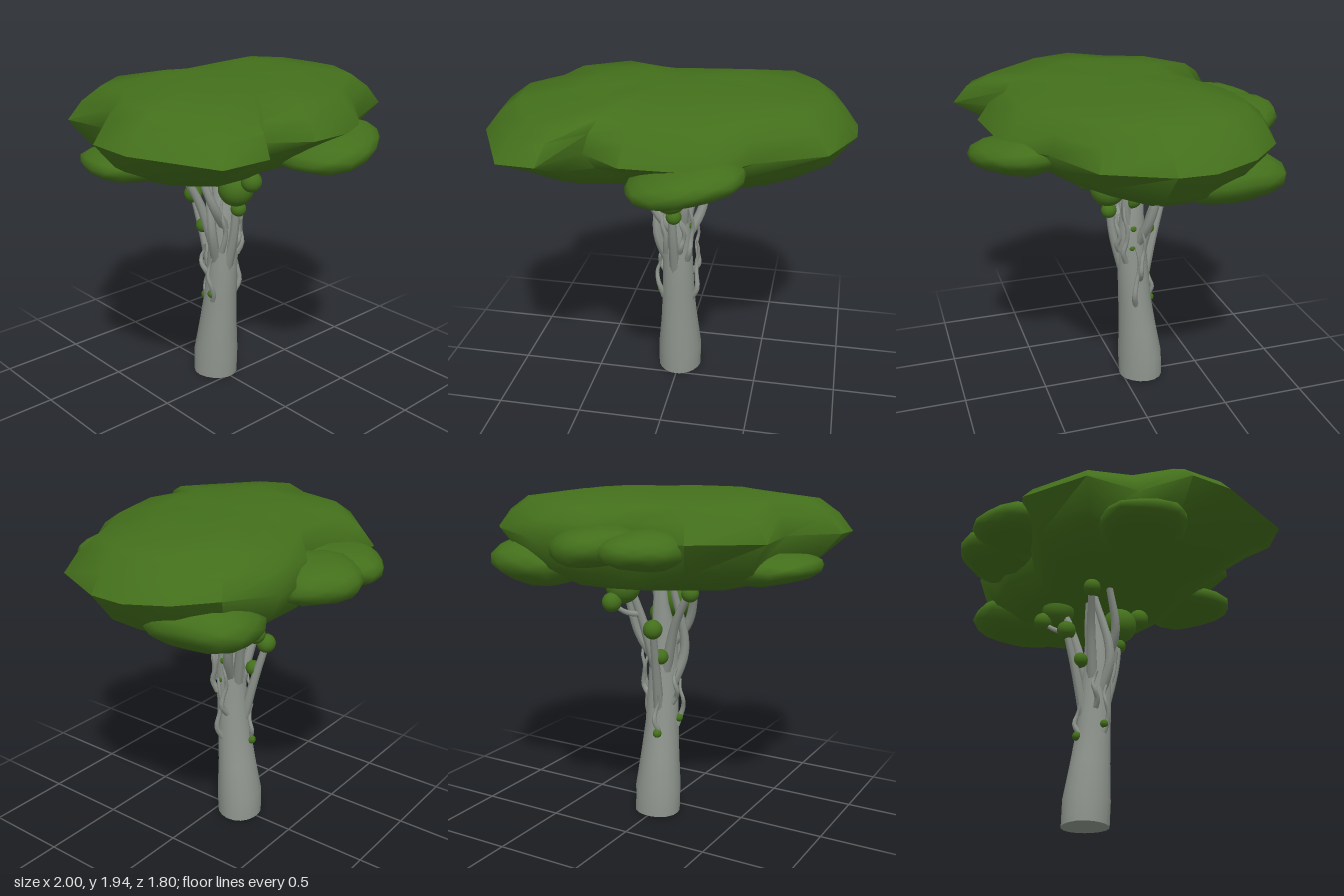
import * as THREE from 'three';
import { mergeVertices, toCreasedNormals } from 'three/addons/utils/BufferGeometryUtils.js';

const leafMat = new THREE.MeshStandardMaterial({ color: 0x436f1b });
const barkMat = new THREE.MeshStandardMaterial({ color: 0x8f968e });

function mesh(name, geometry, material) {
  const m = new THREE.Mesh(geometry, material);
  m.name = name;
  return m;
}

// Closed skin through rings of equal point count, lowest ring first
function loft(rings, crease) {
  const n = rings[0].length;
  const idx = [];
  for (let i = 0; i < rings.length - 1; i++) {
    for (let j = 0; j < n; j++) {
      const k = (j + 1) % n;
      const a = i * n + j, b = i * n + k, c = a + n, d = b + n;
      idx.push(a, b, d, a, d, c);
    }
  }
  const g = new THREE.BufferGeometry();
  g.setAttribute('position', new THREE.Float32BufferAttribute(rings.flat(2), 3));
  g.setIndex(idx);
  return toCreasedNormals(g, crease);
}

// Tube that narrows from r0 to r1
function taperTube(points, r0, r1) {
  const curve = new THREE.CatmullRomCurve3(points);
  const seg = 14, sides = 7;
  const g = new THREE.TubeGeometry(curve, seg, r0, sides);
  const p = g.attributes.position, q = new THREE.Vector3();
  for (let k = 0; k < p.count; k++) {
    const t = Math.floor(k / (sides + 1)) / seg;
    const c = curve.getPointAt(t);
    q.fromBufferAttribute(p, k).sub(c).multiplyScalar(1 + (r1 / r0 - 1) * t).add(c);
    p.setXYZ(k, q.x, q.y, q.z);
  }
  return g;
}

// Lumpy flattened leaf mass, rising towards +x by tilt
function lump(center, radii, tilt, seed) {
  let g = new THREE.IcosahedronGeometry(1, 2);
  g.deleteAttribute('normal');
  g.deleteAttribute('uv');
  g = mergeVertices(g, 1e-3);
  const p = g.attributes.position, q = new THREE.Vector3();
  for (let i = 0; i < p.count; i++) {
    q.fromBufferAttribute(p, i);
    q.multiplyScalar(1.03 + 0.09 * Math.sin(3 * q.x + seed) * Math.cos(4 * q.z + 2 * seed));
    p.setXYZ(i, q.x * radii[0], q.y * radii[1] + q.x * tilt, q.z * radii[2]);
  }
  g.translate(...center);
  g.computeVertexNormals();
  return g;
}

// Canopy plan corners as x, z
const outline = [
  [-1, .12], [-.98, .36], [-.76, .8], [-.53, .87], [-.36, .63], [-.14, .79], [.3, .72], [.5, .53], [.86, .38], [1, .04],
  [1, -.16], [.92, -.4], [.76, -.58], [.45, -.7], [.14, -.69], [-.05, -.52], [-.48, -.69], [-.8, -.42], [-.77, -.1],
];

// Canopy section as outline scale, height
const section = [[0, 1.4], [.4, 1.4], [.68, 1.42], [.87, 1.52], [1, 1.7], [.93, 1.8], [.83, 1.885], [.5, 1.925], [.25, 1.935], [0, 1.935]];

function canopy() {
  const n = outline.length;
  return loft(section.map(([s, y]) => outline.map(([x, z], j) => {
    // Notches in the rim fade out towards the middle
    const [px, pz] = outline[(j + n - 1) % n], [nx, nz] = outline[(j + 1) % n];
    const w = Math.min(1, 3 * (1 - s)) / 2;
    const ax = s * (x + w * ((px + nx) / 2 - x)), az = s * (z + w * ((pz + nz) / 2 - z));
    const bend = y < 1.6 ? 0.15 * Math.max(0, az) : y > 1.85 ? -0.07 * az * az : 0;
    return [ax, y + bend + 0.018 * s * Math.sin(5 * x + 4 * z), az];
  })), 1.25);
}

// Trunk stations: height, z centre, radius
const stations = [
  [0, -.125, 0], [0, -.125, .135], [.15, -.12, .137], [.36, -.1, .115], [.55, -.08, .1],
  [.95, -.055, .086], [1.12, -.06, .07], [1.28, -.09, .045], [1.45, -.1, .03],
];

function trunk() {
  const n = 18;
  return loft(stations.map(([y, z, r]) => Array.from({ length: n }, (_, j) => {
    const t = (j / n) * Math.PI * 2;
    const k = r * (1 + 0.03 * Math.sin(3 * t + 4 * y));
    return [Math.cos(t) * k, y, z - Math.sin(t) * k];
  })), 0.9);
}

// Branches: start, bend, tip
const branches = [
  [[0, .98, -.02], [-.13, 1.16, .01], [-.21, 1.43, -.06]],
  [[-.05, .76, -.06], [-.12, 1, -.02], [-.08, 1.4, -.1]],
  [[.04, .92, -.08], [.13, 1.1, -.13], [.18, 1.42, -.2]],
  [[-.01, .7, -.02], [-.01, 1.0, .055], [-.02, 1.3, .08]],
  [[-.01, .6, -.13], [-.03, .9, -.2], [-.05, 1.15, -.27]],
  [[.02, .9, -.12], [.07, 1.18, -.18], [.12, 1.4, -.24]],
  [[-.04, .88, -.1], [-.12, 1.16, -.14], [-.24, 1.39, -.18]],
  [[.03, 1, -.04], [.05, 1.2, -.01], [.05, 1.43, -.1]],
];

// Thin twigs on the branches
const twigs = [
  [[-.02, 1.18, .05], [-.02, 1.28, .15], [-.02, 1.34, .21]],
  [[.08, 1.22, -.19], [.12, 1.24, -.27], [.17, 1.3, -.35]],
];

// Aerial roots clinging to the trunk: angle around it, foot height, top height
const roots = [[2.9, .53, .82], [.1, .53, .94], [-.2, .7, 1.02], [.7, .82, 1.18], [2.2, .86, 1.2], [1.2, .88, 1.12], [-2.8, .68, .9], [-1.8, .48, .75]];

function aerialRoot(angle, y0, y1) {
  const points = Array.from({ length: 6 }, (_, i) => {
    const t = i / 5;
    const r = 0.085 + 0.042 * Math.min(1, 4 * t) - 0.012 * t + 0.01 * Math.sin(9 * t + angle);
    const a = angle + 0.12 * Math.sin(7 * t + angle);
    return new THREE.Vector3(Math.cos(a) * r, y0 + (y1 - y0) * t, -0.07 + Math.sin(a) * r);
  });
  return taperTube(points, 0.019, 0.007);
}

// Round leaf clusters: x, y, z, radius
const clusters = [
  [-.02, 1.27, .08, .105], [-.02, 1.34, .21, .06], [0, 1.14, .08, .046], [-.24, 1.37, -.18, .05],
  [.15, 1.39, -.26, .1], [.17, 1.31, -.35, .056], [-.05, 1.16, -.27, .056], [.03, 1.21, -.05, .06],
  [-.05, .98, -.18, .045], [.06, 1.03, -.05, .024], [.07, .91, -.04, .021], [-.1, .58, -.05, .024], [-.03, .51, -.19, .026],
];

// Lower leaf masses: name, centre, radii, tilt
const lobes = [
  ['frontLeafLobe', [.16, 1.6, .61], [.3, .105, .27], .04],
  ['backLeafLobe', [.07, 1.67, -.65], [.24, .11, .24], -.02],
  ['backLeafLobe', [-.22, 1.67, -.64], [.22, .1, .24], 0],
  ['leftLeafLobe', [.62, 1.53, -.36], [.27, .14, .33], .02],
  ['rightLeafLobe', [-.66, 1.53, -.05], [.27, .09, .25], -.02],
];

export function createModel() {
  const tree = new THREE.Group();
  tree.name = 'tree';
  tree.add(mesh('trunk', trunk(), barkMat), mesh('canopy', canopy(), leafMat));
  lobes.forEach(([name, c, r, tilt], i) => tree.add(mesh(name, lump(c, r, tilt, i * 1.7), leafMat)));
  const limb = (name, path, r0, r1) => tree.add(mesh(name, taperTube(path.map((p) => new THREE.Vector3(...p)), r0, r1), barkMat));
  branches.forEach((path) => limb('branch', path, 0.034, 0.02));
  twigs.forEach((path) => limb('twig', path, 0.018, 0.012));
  roots.forEach((r) => tree.add(mesh('aerialRoot', aerialRoot(...r), barkMat)));
  clusters.forEach(([x, y, z, r]) => {
    const ball = mesh('leafCluster', new THREE.SphereGeometry(r, 20, 14), leafMat);
    ball.position.set(x, y, z);
    tree.add(ball);
  });
  return tree;
}
